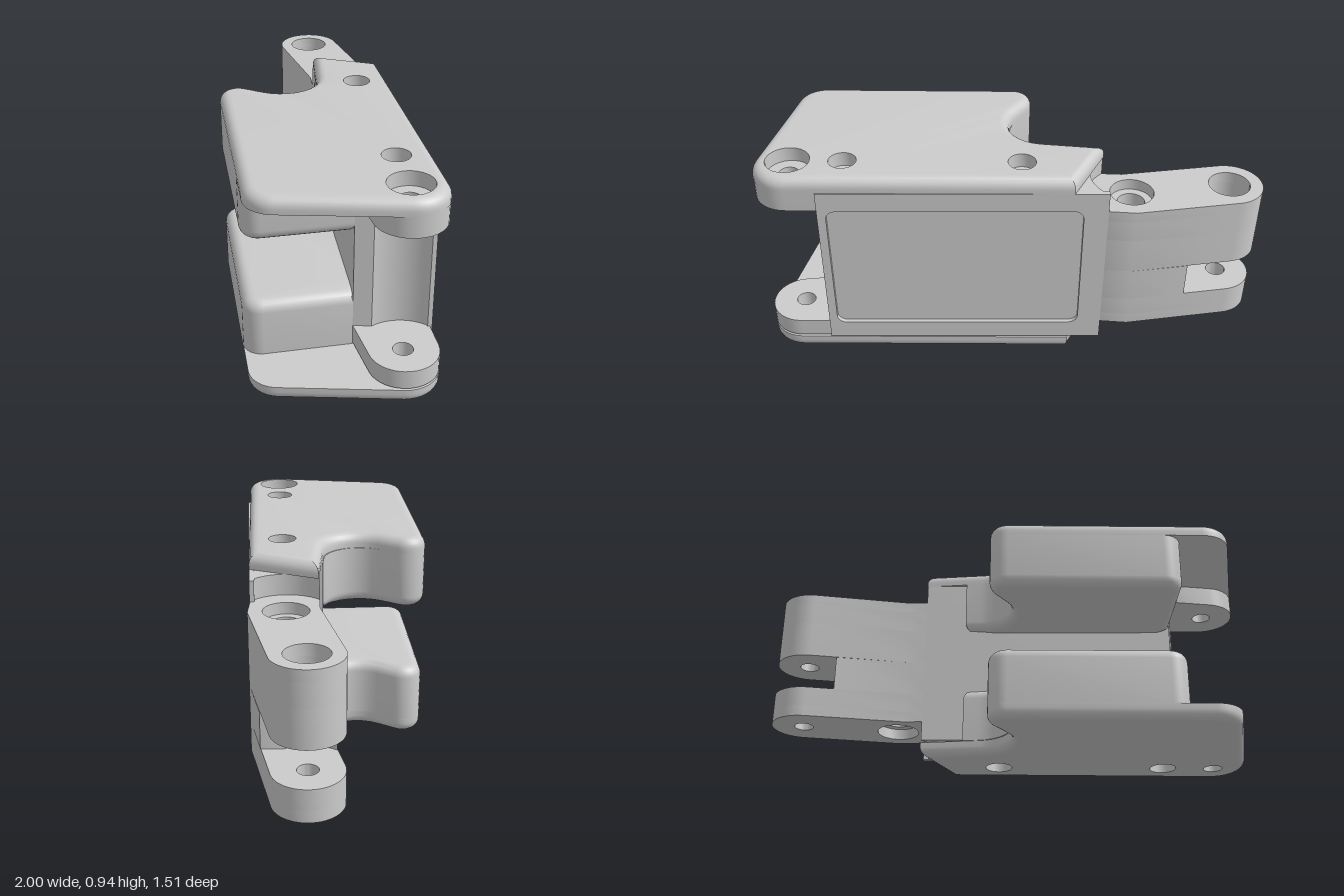
import * as THREE from 'three';
import { toCreasedNormals } from 'three/addons/utils/BufferGeometryUtils.js';

const V = (x, z) => new THREE.Vector2(x, z);
const material = new THREE.MeshStandardMaterial({ color: 0xcccccc });

// Points along an arc in plan (degrees)
function arc(x, z, r, a0, a1, n = 12) {
  return Array.from({ length: n + 1 }, (_, i) => {
    const a = THREE.MathUtils.degToRad(a0 + (a1 - a0) * i / n);
    return [x + r * Math.cos(a), z + r * Math.sin(a)];
  });
}

// Plan outline from corners [x, z, radius], counter-clockwise
function outline(corners) {
  const out = [], n = corners.length;
  corners.forEach(([x, z, r], i) => {
    const p = V(x, z);
    if (!r) return out.push(p);
    const a = V(...corners[(i + n - 1) % n]).sub(p).normalize();
    const b = V(...corners[(i + 1) % n]).sub(p).normalize();
    const half = Math.acos(a.dot(b)) / 2;
    const c = a.clone().add(b).normalize().multiplyScalar(r / Math.sin(half)).add(p);
    const t = r / Math.tan(half);
    const s = a.multiplyScalar(t).add(p).sub(c).angle();
    let d = b.multiplyScalar(t).add(p).sub(c).angle() - s;
    d = Math.atan2(Math.sin(d), Math.cos(d));
    for (let k = 0; k <= 10; k++) {
      out.push(V(c.x + r * Math.cos(s + d * k / 10), c.y + r * Math.sin(s + d * k / 10)));
    }
  });
  const clean = out.filter((p, i) => p.distanceTo(out[(i + 1) % out.length]) > 1e-3);
  return THREE.ShapeUtils.area(clean) < 0 ? clean.reverse() : clean;
}

function inset(loop, d) {
  const n = loop.length;
  const normal = (a, b) => V(b.y - a.y, a.x - b.x).normalize();
  return loop.map((p, i) => {
    const n1 = normal(loop[(i + n - 1) % n], p), n2 = normal(p, loop[(i + 1) % n]);
    return p.clone().addScaledVector(n1.clone().add(n2), -d / (1 + n1.dot(n2)));
  });
}

// Horizontal slab with round holes [x, z, r] and optional rounded lower / upper rim
function slab(name, corners, y0, y1, holes = [], low = 0, high = 0) {
  const base = outline(corners), layers = [], pos = [], steps = 6;
  const put = (p, y) => pos.push(p.x, y, p.y);
  const rim = (r, y, sign) => {
    if (!r) return [[base, y]];
    return Array.from({ length: steps + 1 }, (_, k) => {
      const a = k / steps * Math.PI / 2;
      return [inset(base, r * (1 - Math.cos(a))), y + sign * r * (Math.sin(a) - 1)];
    });
  };
  layers.push(...rim(low, y0, -1).reverse(), ...rim(high, y1, 1));
  const wall = (A, ya, B, yb) => A.forEach((a, i) => {
    const j = (i + 1) % A.length;
    put(a, ya); put(B[j], yb); put(A[j], ya);
    put(a, ya); put(B[i], yb); put(B[j], yb);
  });
  for (let i = 1; i < layers.length; i++) wall(...layers[i - 1], ...layers[i]);
  const rings = holes.map(([x, z, r]) => arc(x, z, r, 360, 0, 32).slice(0, -1).map((p) => V(...p)));
  rings.forEach((ring) => wall(ring, y0, ring, y1));
  const cap = (loop, y, up) => {
    const all = [loop, ...rings].flat();
    for (const [a, b, c] of THREE.ShapeUtils.triangulateShape(loop.slice(), rings.map((r) => r.slice()))) {
      for (const k of up ? [a, c, b] : [a, b, c]) put(all[k], y);
    }
  };
  cap(layers[0][0], y0, false);
  cap(layers.at(-1)[0], y1, true);
  const geo = new THREE.BufferGeometry();
  geo.setAttribute('position', new THREE.Float32BufferAttribute(pos, 3));
  const mesh = new THREE.Mesh(toCreasedNormals(geo, 0.6), material);
  mesh.name = name;
  return mesh;
}

export function createModel() {
  const g = new THREE.Group();
  g.name = 'hingedLink';
  const pivot = [0.85, 0.22], end = [-0.855, -0.615], boss = [-0.445, -0.47];
  const screws = [[-0.025, -0.25], [0.645, 0.11]];
  const screwHoles = (r) => screws.map((s) => [...s, r]);
  const lobe = [-0.426, 0.249, 0.08], bite = [0.039, 0.014, 0.16], tip = [1.084, 0.171, 0.147];

  // Cover plates with rounded outer rims
  const plate = [[-0.405, -0.295], [-0.15, -0.48], tip, [0.566, 0.784, 0.13], lobe, bite];
  g.add(slab('topPlate', plate, 0.875, 0.94, [...screwHoles(0.06), [...pivot, 0.095]], 0, 0.045));
  g.add(slab('bottomPlate', plate, 0, 0.07, [...screwHoles(0.06), [...pivot, 0.043]], 0.045, 0));

  // Grip pads facing each other between the plates
  const pad = [lobe, bite, [-0.25, -0.18], [-0.2, -0.26], [0.55, 0.14], [0.6, 0.28], [0.388, 0.688, 0.08]];
  g.add(slab('topPad', pad, 0.62, 0.875, [], 0.05, 0));
  g.add(slab('bottomPad', pad, 0.07, 0.325, [], 0, 0.05));

  // Main body, hollowed around both pivots
  const body = [
    [-0.405, -0.29], ...arc(...boss, 0.185, 76, -20), [-0.289, -0.529],
    [0.801, 0.035], ...arc(...pivot, 0.197, -108, -180), [0.6, 0.28],
  ];
  g.add(slab('body', body, 0.08, 0.875, screwHoles(0.03)));

  // Frame around the recessed back panel
  const frame = new THREE.Shape([V(0, 0.08), V(1.227, 0.08), V(1.227, 0.875), V(0, 0.875)]);
  const window = outline([[0.037, 0.165, 0.04], [1.124, 0.165, 0.04], [1.124, 0.785, 0.04], [0.037, 0.785, 0.04]]);
  frame.holes.push(new THREE.Path(window));
  const frameMesh = new THREE.Mesh(
    new THREE.ExtrudeGeometry(frame, { depth: 0.02, bevelEnabled: false }), material);
  frameMesh.name = 'backFrame';
  frameMesh.position.set(0.801, 0, 0.035);
  frameMesh.rotation.y = Math.PI - 0.478;
  g.add(frameMesh);

  // Pivot lugs above and below the clevis gap
  const lug = [[0.4, -0.185], tip, [0.895, 0.394, 0.147], [0.6, 0.28], [0.4, 0.1]];
  g.add(slab('upperLug', lug, 0.785, 0.875, [[...pivot, 0.043]]));
  g.add(slab('lowerLug', lug, 0.08, 0.165, [[...pivot, 0.043]]));

  // Washers between the body and the bottom plate
  for (const s of screws) g.add(slab('washer', arc(...s, 0.085, 0, 360, 32), 0.07, 0.08, [[...s, 0.03]]));

  // Forked arm, stacked in layers for the counterbores and the fork slot
  const root = [[-0.48, -0.335], [-0.405, -0.29], [-0.2, -0.2], [-0.15, -0.4], [-0.28, -0.545], [-0.38, -0.61]];
  const full = [...arc(...end, 0.145, -71, -251, 24), ...root];
  const notched = [[-0.62, -0.692], ...arc(...end, 0.188, 0, 68), ...root];
  const armLayers = [
    [full, 0.17, 0.22, 0.043, 0.095],
    [full, 0.22, 0.31, 0.043, 0.06],
    [notched, 0.31, 0.47, 0, 0.06],
    [full, 0.47, 0.635, 0.043, 0.06],
    [full, 0.635, 0.735, 0.09, 0.06],
    [full, 0.735, 0.785, 0.09, 0.095],
  ];
  for (const [shape, y0, y1, re, rb] of armLayers) {
    g.add(slab('arm', shape, y0, y1, [...(re ? [[...end, re]] : []), [...boss, rb]]));
  }
  return g;
}
